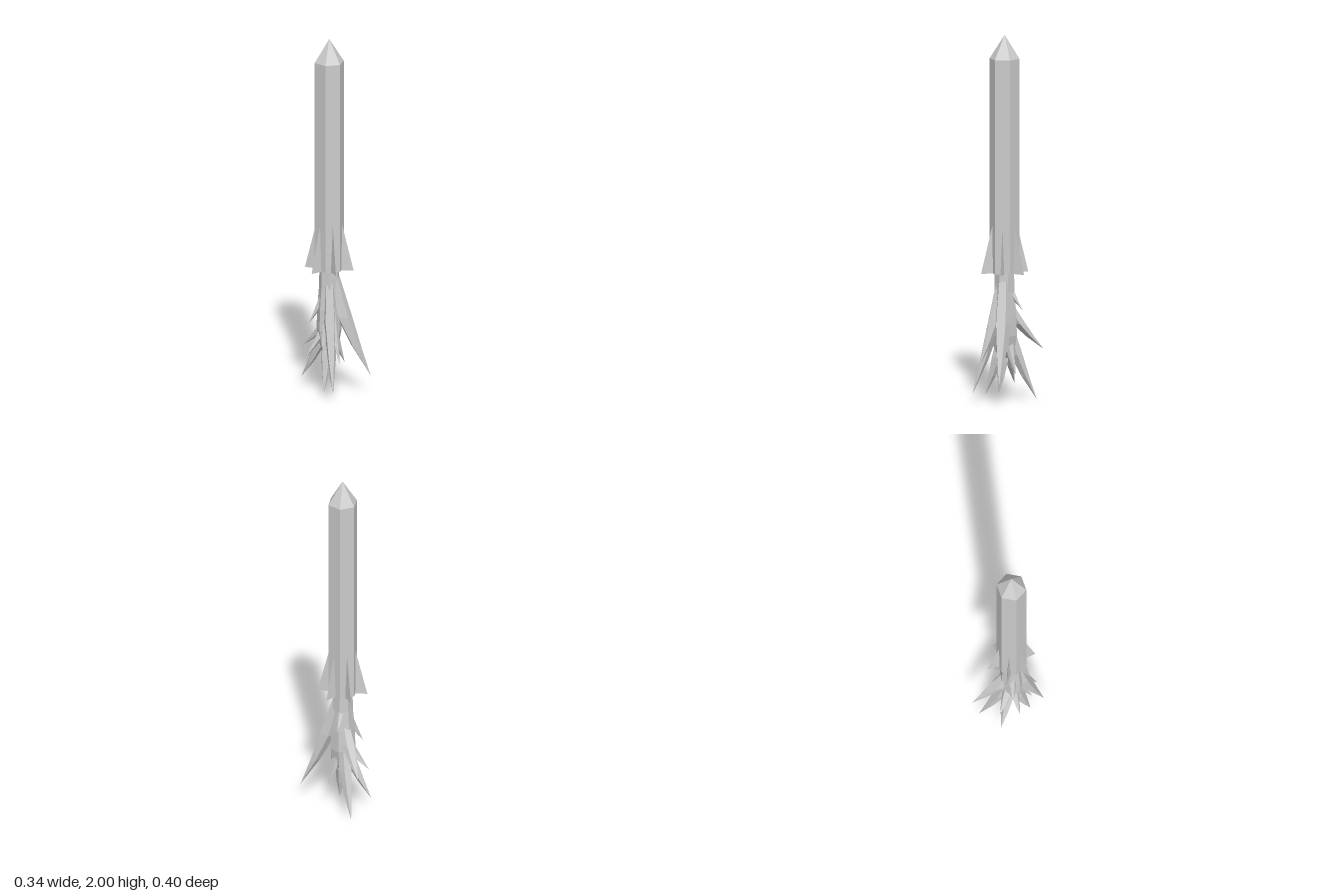
import * as THREE from 'three';

const material = new THREE.MeshStandardMaterial({ color: 0xcccccc, flatShading: true });
const CX = -0.035, CZ = 0.025;

function add(group, geometry, name) {
  const mesh = new THREE.Mesh(geometry, material);
  mesh.name = name;
  group.add(mesh);
  return mesh;
}

// Faceted skin over horizontal rings [x, y, z, radius] listed from top to bottom
function loft(rings, sides, turn = 0) {
  const pos = [], index = [];
  for (const [x, y, z, r] of rings) {
    for (let i = 0; i < sides; i++) {
      const a = turn + (i / sides) * Math.PI * 2;
      pos.push(x + Math.cos(a) * r, y, z + Math.sin(a) * r);
    }
  }
  for (let k = 0; k < rings.length - 1; k++) {
    for (let i = 0; i < sides; i++) {
      const j = (i + 1) % sides, a = k * sides, b = a + sides;
      index.push(a + i, a + j, b + i, a + j, b + j, b + i);
    }
  }
  const g = new THREE.BufferGeometry();
  g.setAttribute('position', new THREE.Float32BufferAttribute(pos, 3));
  g.setIndex(index);
  g.computeVertexNormals();
  return g;
}

// Flame tongue: leaves the core at rootY and flares outward ever faster towards its tip
function tongue([x, y, z, rootY, radius], turn) {
  const rings = [0, 0.4, 0.7, 1].map((t, k) => {
    const out = 0.1 + 0.9 * t ** 1.4;
    const thickness = radius * [0.75, 1, 0.6, 0][k];
    return [CX + (x - CX) * out, rootY + (y - rootY) * t, CZ + (z - CZ) * out, thickness];
  });
  return loft(rings, 5, turn);
}

// Thin triangular fin, wide at the root and sharp at its outer tip
function finGeometry() {
  const top = [0.068, 0.97, 0], tip = [0.136, 0.7, 0];
  const left = [0.066, 0.7, 0.011], right = [0.066, 0.7, -0.011];
  const faces = [[top, tip, right], [top, left, tip], [left, right, tip], [top, right, left]];
  const g = new THREE.BufferGeometry();
  g.setAttribute('position', new THREE.Float32BufferAttribute(faces.flat(2), 3));
  g.computeVertexNormals();
  return g;
}

export function createModel() {
  const model = new THREE.Group();
  model.name = 'rocket';

  // Six-sided body with pointed nose
  const body = add(model, new THREE.CylinderGeometry(0.082, 0.082, 1.17, 6), 'body');
  body.position.set(CX, 1.285, CZ);
  body.rotation.y = Math.PI / 6;
  const nose = add(model, new THREE.ConeGeometry(0.082, 0.13, 6), 'nose');
  nose.position.set(CX, 1.935, CZ);
  nose.rotation.y = Math.PI / 6;

  // One fin in the middle of each body face
  const fin = finGeometry();
  for (let i = 0; i < 6; i++) {
    const mesh = add(model, fin, 'fin');
    mesh.position.set(CX, 0, CZ);
    mesh.rotation.y = Math.PI / 6 + (i * Math.PI) / 3;
  }

  // Exhaust flame: central core
  const flame = new THREE.Group();
  flame.name = 'flame';
  model.add(flame);
  const core = [[0.7, 0.054], [0.6, 0.056], [0.48, 0.066], [0.36, 0.07], [0.27, 0.055], [0.2, 0]];
  add(flame, loft(core.map(([y, r]) => [CX, y, CZ, r]), 7), 'flameCore');

  // Tongues: tip x, y, z, root height, thickness
  const tongues = [
    [0.168, 0.11, 0.133, 0.66, 0.045],
    [-0.063, 0.04, 0.2, 0.66, 0.04],
    [-0.02, 0.2, 0.175, 0.62, 0.032],
    [-0.043, 0.27, -0.202, 0.52, 0.038],
    [-0.02, 0.0, -0.155, 0.42, 0.036],
    [-0.163, 0.07, -0.08, 0.4, 0.032],
    [-0.09, 0.03, 0.115, 0.38, 0.036],
    [-0.17, 0.21, 0.027, 0.42, 0.026],
    [0.06, 0.155, -0.005, 0.42, 0.026],
    [-0.145, 0.39, 0.0, 0.62, 0.024],
    [0.025, 0.5, -0.055, 0.66, 0.022],
    [-0.1, 0.24, 0.12, 0.52, 0.026],
    [-0.15, 0.25, -0.08, 0.42, 0.03],
    [-0.03, 0.04, 0.06, 0.34, 0.034],
  ];
  tongues.forEach((t, i) => add(flame, tongue(t, i * 1.3), 'flameTongue'));
  return model;
}
